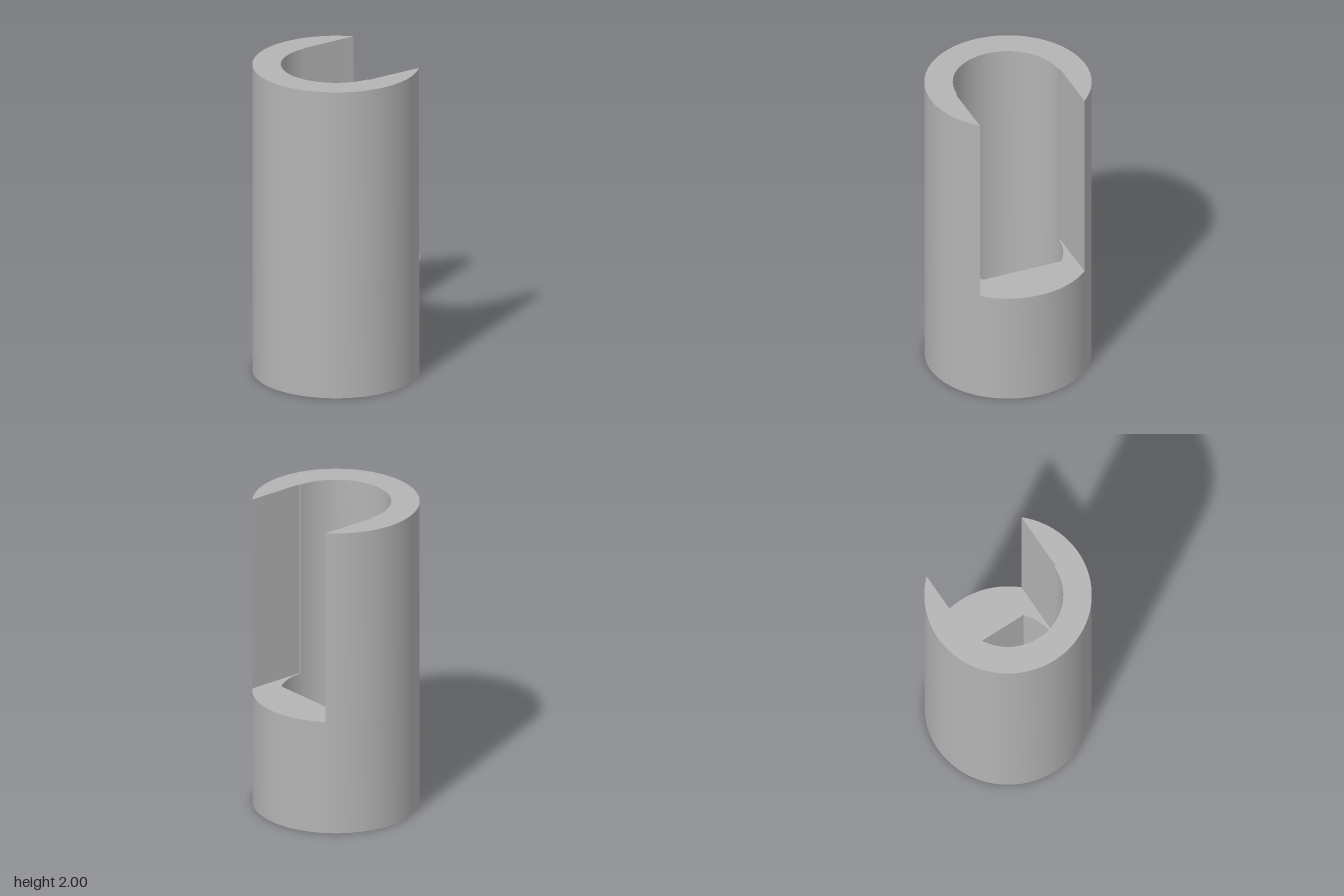
import * as THREE from 'three';
import { toCreasedNormals } from 'three/addons/utils/BufferGeometryUtils.js';

const OUTER = 0.515, BORE = 0.34, FLAT_X = 0.22, SLOT = 0.35;
const STEP_Y = 0.74, TOP_Y = 2;

// Extrudes a plan outline upward from y0 to y1 with smooth curved walls
function extrudeUp(shape, y0, y1) {
  const geo = new THREE.ExtrudeGeometry(shape, { depth: y1 - y0, bevelEnabled: false, curveSegments: 96 });
  geo.rotateX(-Math.PI / 2);
  geo.translate(0, y0, 0);
  return toCreasedNormals(geo, Math.PI / 7);
}

export function createModel() {
  const group = new THREE.Group();
  group.name = 'slottedSleeve';
  const grey = new THREE.MeshStandardMaterial({ color: 0xb4b4b4 });
  grey.name = 'grey';

  const add = (name, shape, y0, y1) => {
    const mesh = new THREE.Mesh(extrudeUp(shape, y0, y1), grey);
    mesh.name = name;
    group.add(mesh);
  };

  // Closed lower collar with a D-shaped bore
  const collar = new THREE.Shape();
  collar.absarc(0, 0, OUTER, 0, Math.PI * 2, false);
  const dBore = new THREE.Path();
  const flatAngle = Math.acos(FLAT_X / BORE);
  dBore.absarc(0, 0, BORE, flatAngle, Math.PI * 2 - flatAngle, false);
  dBore.closePath();
  collar.holes.push(dBore);
  add('lowerCollar', collar, 0, STEP_Y);

  // Upper wall, open on the +x side, with a small step where the slot meets the bore
  const wall = new THREE.Shape();
  const slotAngle = Math.asin(SLOT / OUTER);
  wall.absarc(0, 0, OUTER, slotAngle, Math.PI * 2 - slotAngle, false);
  wall.lineTo(0, -SLOT);
  wall.lineTo(0, -BORE);
  wall.absarc(0, 0, BORE, Math.PI * 1.5, Math.PI * 0.5, true);
  wall.lineTo(0, SLOT);
  wall.closePath();
  add('upperWall', wall, STEP_Y, TOP_Y);

  return group;
}
